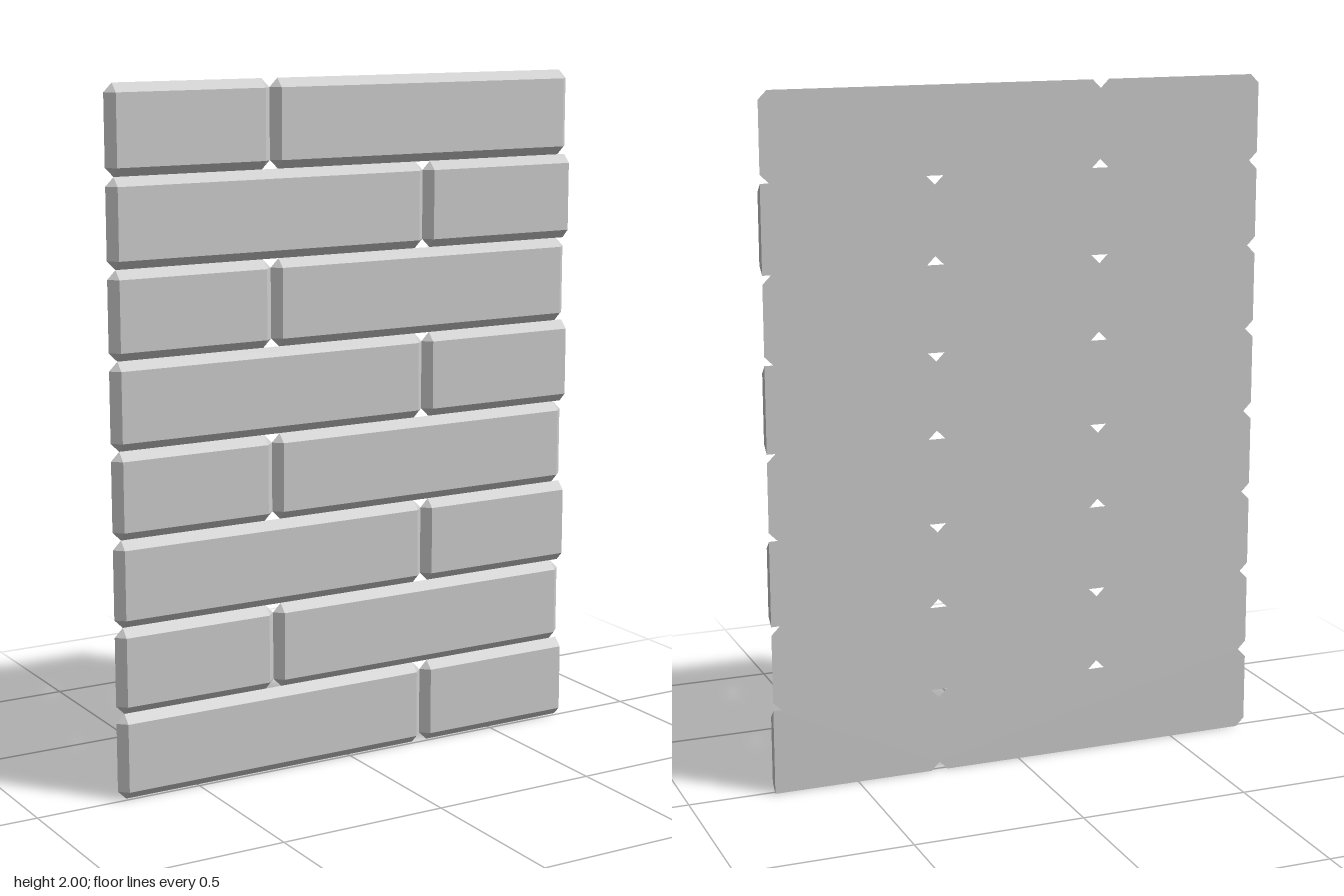
import * as THREE from 'three';
import { ConvexGeometry } from 'three/addons/geometries/ConvexGeometry.js';

const ROWS = 8, ROW_HEIGHT = 0.25, HALF_WIDTH = 0.75;
const BEVEL = 0.025, HALF_DEPTH = 0.0125;

// Brick with a flat back and edges bevelled over its whole depth;
// a cut brick ends in a plain, square right side.
function brickGeometry(width, height, cutRight) {
  const w = width / 2, h = height / 2;
  const points = [];
  for (const sx of [-1, 1]) {
    for (const sy of [-1, 1]) {
      const add = (x, y, z) => points.push(new THREE.Vector3(sx * x, sy * y, z));
      if (cutRight && sx > 0) {
        add(w, h - BEVEL, HALF_DEPTH);
        add(w, h, -HALF_DEPTH);
      } else {
        add(w - BEVEL, h - BEVEL, HALF_DEPTH);
        add(w - BEVEL, h, -HALF_DEPTH);
        add(w, h - BEVEL, -HALF_DEPTH);
      }
    }
  }
  return new ConvexGeometry(points);
}

export function createModel() {
  const wall = new THREE.Group();
  wall.name = 'brickWall';
  const material = new THREE.MeshStandardMaterial({ color: 0xcccccc, flatShading: true });

  for (let row = 0; row < ROWS; row++) {
    const course = new THREE.Group();
    course.name = `brickCourse${row + 1}`;
    course.position.y = (row + 0.5) * ROW_HEIGHT;

    // Alternate courses shift the joint; every second one is cut at the right
    const shifted = row % 2 === 1;
    const joint = shifted ? -0.25 : 0.25;
    const spans = [[-HALF_WIDTH, joint, false], [joint, HALF_WIDTH, !shifted]];
    for (const [x0, x1, cut] of spans) {
      const brick = new THREE.Mesh(brickGeometry(x1 - x0, ROW_HEIGHT, cut), material);
      brick.name = x1 - x0 > 0.75 ? 'fullBrick' : 'halfBrick';
      brick.position.x = (x0 + x1) / 2;
      course.add(brick);
    }
    wall.add(course);
  }
  return wall;
}
